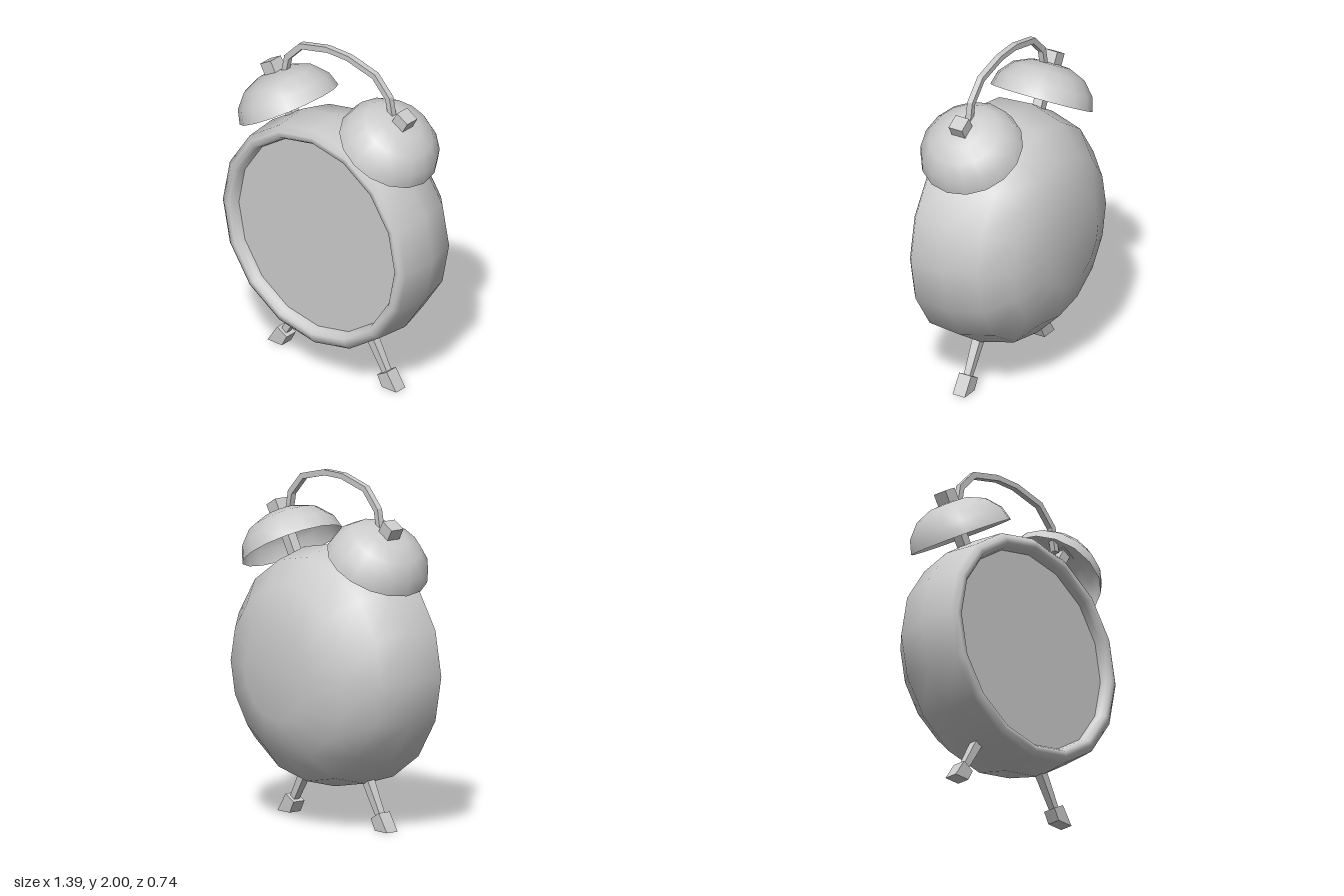
import * as THREE from 'three';

const material = new THREE.MeshStandardMaterial({ color: 0xcccccc, side: THREE.DoubleSide });
const flat = new THREE.MeshStandardMaterial({ color: 0xcccccc, flatShading: true });
const TILT = Math.PI / 6;
const MID_Z = 0.07;
const CASE_Y = 0.893;

const points = (list) => list.map(([x, y]) => new THREE.Vector2(x, y));

function part(name, geometry, mat = flat) {
  const mesh = new THREE.Mesh(geometry, mat);
  mesh.name = name;
  return mesh;
}

// Flat outline in x/y, given a thickness centred on z
function slab(outline, depth, z) {
  const g = new THREE.ExtrudeGeometry(new THREE.Shape(points(outline)), { depth, bevelEnabled: false });
  return g.translate(0, 0, z - depth / 2);
}

// Upright box spanning y0..y1
function post(width, y0, y1) {
  return new THREE.BoxGeometry(width, y1 - y0, width).translate(0, (y0 + y1) / 2, 0);
}

function createBell(side) {
  const bell = new THREE.Group();
  bell.name = side > 0 ? 'leftBell' : 'rightBell';
  const dome = points([[0.3, 0], [0.277, 0.082], [0.208, 0.16], [0.113, 0.2], [0, 0.209]]);
  bell.add(part('bellDome', new THREE.LatheGeometry(dome, 16), material));
  bell.add(part('bellKnob', post(0.088, 0.2, 0.275)));
  bell.add(part('bellPost', post(0.058, -0.14, 0.2)));
  bell.position.set(side * 0.368, 1.523, MID_Z);
  bell.rotation.z = -side * TILT;
  return bell;
}

function createLeg(side) {
  const leg = new THREE.Group();
  leg.name = side > 0 ? 'leftLeg' : 'rightLeg';
  // Tapered square shaft
  const shaft = new THREE.CylinderGeometry(0.04, 0.027, 0.32, 4, 1).rotateY(Math.PI / 4);
  const shaftMesh = part('legShaft', shaft);
  shaftMesh.position.set(side * 0.302, 0.205, 0.09);
  shaftMesh.rotation.z = side * TILT;
  // Foot cut level with the ground
  const outline = [[0.37, 0], [0.475, 0], [0.405, 0.105], [0.335, 0.065]];
  const foot = part('foot', slab(outline.map(([x, y]) => [side * x, y]), 0.08, 0.09));
  leg.add(shaftMesh, foot);
  return leg;
}

export function createModel() {
  const model = new THREE.Group();
  model.name = 'alarmClock';

  // Rounded case and front rim, turned about the z axis
  const profile = points([
    [0, -0.37], [0.267, -0.37], [0.493, -0.28], [0.64, -0.135], [0.693, 0.07],
    [0.677, 0.28], [0.645, 0.306], [0.614, 0.306], [0.595, 0.28], [0.587, 0.247],
  ]);
  const body = part('case', new THREE.LatheGeometry(profile, 16).rotateX(Math.PI / 2), material);
  body.position.y = CASE_Y;
  model.add(body);

  // Dial, recessed behind the rim
  const dial = part('dial', new THREE.CircleGeometry(0.587, 16));
  dial.position.set(0, CASE_Y, 0.247);
  model.add(dial);

  // Carrying handle: half outlines mirrored into one arch
  const outer = [[0.418, 1.69], [0.389, 1.838], [0.28, 1.952], [0.085, 2]];
  const inner = [[0.07, 1.968], [0.261, 1.922], [0.358, 1.82], [0.384, 1.69]];
  const mirror = (list) => list.map(([x, y]) => [-x, y]).reverse();
  const arch = [...outer, ...mirror(outer), ...mirror(inner), ...inner];
  model.add(part('handle', slab(arch, 0.034, MID_Z)));

  for (const side of [1, -1]) model.add(createBell(side), createLeg(side));
  return model;
}
